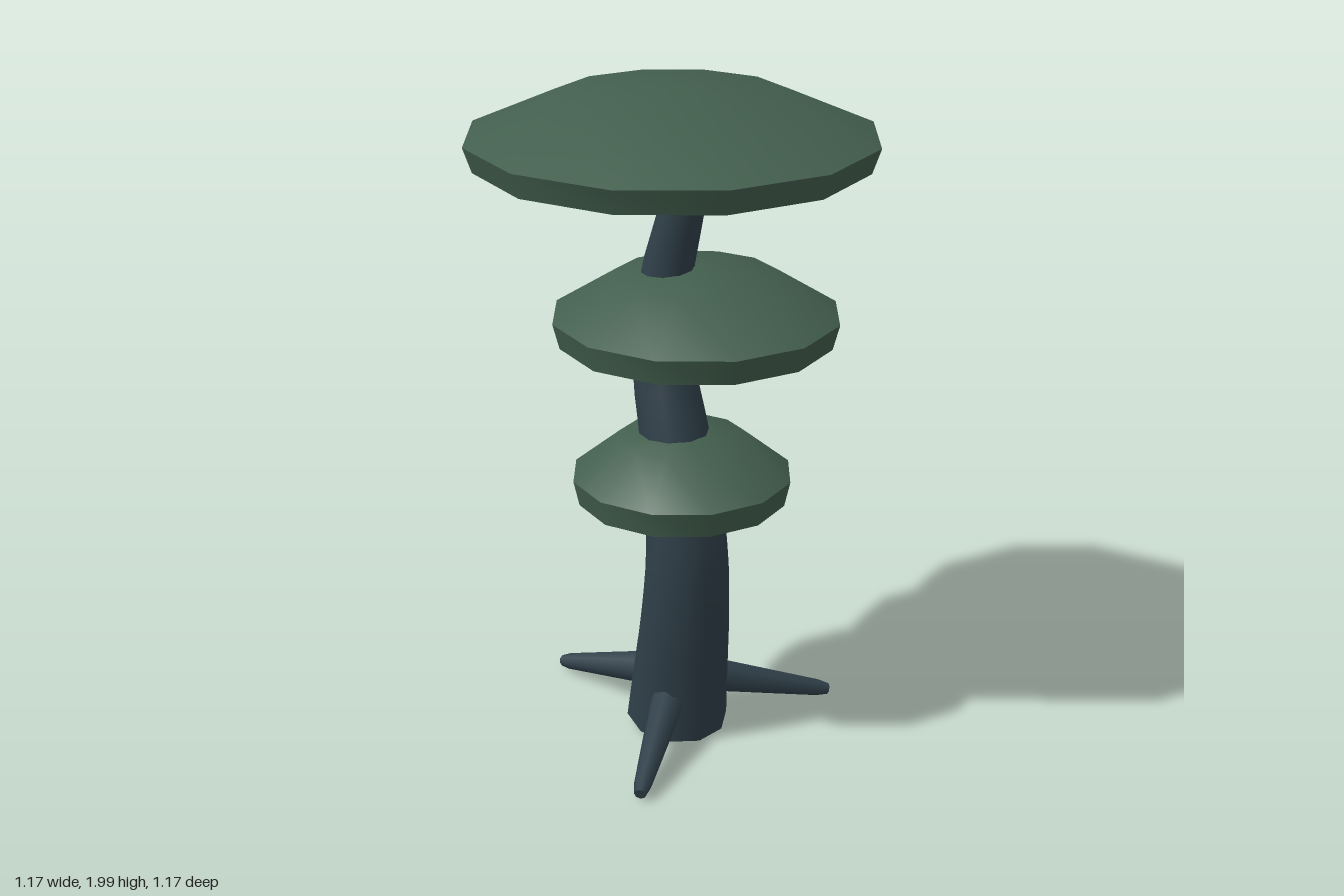
import * as THREE from 'three';
import { toCreasedNormals } from 'three/addons/utils/BufferGeometryUtils.js';

const V = (x, y, z) => new THREE.Vector3(x, y, z);

// Tube along a curve whose radius follows a rule, closed by a disc at each end
function taperedLimb(name, curve, radiusAt, segments, sides, material) {
  const limb = new THREE.Group();
  limb.name = name;
  const geo = new THREE.TubeGeometry(curve, segments, 1, sides, false);
  const pos = geo.attributes.position;
  const p = new THREE.Vector3();
  for (let i = 0; i <= segments; i++) {
    const centre = curve.getPointAt(i / segments);
    for (let j = 0; j <= sides; j++) {
      const k = i * (sides + 1) + j;
      p.fromBufferAttribute(pos, k).sub(centre).multiplyScalar(radiusAt(i / segments)).add(centre);
      pos.setXYZ(k, p.x, p.y, p.z);
    }
  }
  const side = new THREE.Mesh(geo, material);
  side.name = name + 'Side';
  limb.add(side);

  // End discs share the rim vertices of the tube
  for (const u of [0, 1]) {
    const centre = curve.getPointAt(u);
    const first = u * segments * (sides + 1);
    const pts = [];
    for (let j = 0; j < sides; j++) {
      const a = p.clone().fromBufferAttribute(pos, first + j);
      const b = p.clone().fromBufferAttribute(pos, first + j + 1);
      const out = curve.getTangentAt(u).multiplyScalar(u ? 1 : -1);
      const facing = a.clone().sub(centre).cross(b.clone().sub(centre)).dot(out) > 0;
      pts.push(centre, ...(facing ? [a, b] : [b, a]));
    }
    const disc = new THREE.BufferGeometry().setFromPoints(pts);
    disc.computeVertexNormals();
    const end = new THREE.Mesh(disc, material);
    end.name = name + (u ? 'Tip' : 'Base');
    limb.add(end);
  }
  return limb;
}

export function createModel() {
  const model = new THREE.Group();
  model.name = 'tieredMushroomTree';

  const bark = new THREE.MeshStandardMaterial({ color: 0x30404a });
  bark.name = 'slate bark';
  const foliage = new THREE.MeshStandardMaterial({ color: 0x435f4e });
  foliage.name = 'moss green';
  const glow = new THREE.MeshStandardMaterial({ color: 0x2aa5b0 });
  glow.name = 'teal glow';

  // Winding trunk
  const path = new THREE.CatmullRomCurve3([
    V(-0.015, 0.03, -0.035), V(0.01, 0.2, -0.026), V(0.045, 0.4, -0.01), V(0.06, 0.6, -0.002),
    V(0.04, 0.78, -0.005), V(-0.015, 1.0, -0.015), V(-0.055, 1.13, -0.024), V(-0.073, 1.25, -0.033),
    V(-0.07, 1.44, -0.05), V(-0.035, 1.6, -0.063), V(0.018, 1.85, -0.08),
  ]);
  model.add(taperedLimb('trunk', path, (u) => 0.154 - 0.1 * u, 24, 10, bark));

  // Three roots spread evenly around the base
  for (let i = 0; i < 3; i++) {
    const a = THREE.MathUtils.degToRad(57 + 120 * i);
    const c = Math.cos(a), s = Math.sin(a);
    const line = new THREE.LineCurve3(
      V(-0.015 + 0.04 * c, 0.165, -0.035 + 0.04 * s),
      V(-0.015 + 0.495 * c, 0.03, -0.035 + 0.495 * s));
    const radius = (u) => (u > 0.95 ? 0.018 : 0.06 - 0.036 * u);
    model.add(taperedLimb('root' + (i + 1), line, radius, 12, 8, bark));
  }

  // Canopy tiers: centre x, z, then profile radii and heights
  const tiers = [
    ['lowerCanopy', 0.025, -0.015, [0.308, 0.78], [0.325, 0.855], [0.188, 0.965], 0.985],
    ['middleCanopy', -0.002, -0.098, [0.403, 1.243], [0.423, 1.318], [0.243, 1.43], 1.455],
    ['upperCanopy', 0, 0, [0.562, 1.79], [0.587, 1.862], [0.338, 1.97], 2.0],
  ];
  for (const [name, x, z, rim, edge, shoulder, top] of tiers) {
    const profile = [[0, rim[1]], rim, edge, shoulder, [0, top]].map(([r, y]) => new THREE.Vector2(r, y));
    const canopy = new THREE.Mesh(toCreasedNormals(new THREE.LatheGeometry(profile, 12), 0.7), foliage);
    canopy.name = name;
    canopy.position.set(x, 0, z);
    model.add(canopy);
  }

  // Glowing pods in a ring under the upper canopy
  const podGeo = new THREE.SphereGeometry(0.035, 8, 6);
  for (let i = 0; i < 7; i++) {
    const a = (i / 7) * Math.PI * 2;
    const pod = new THREE.Mesh(podGeo, glow);
    pod.name = 'glowPod' + (i + 1);
    pod.position.set(-0.012 + 0.46 * Math.cos(a), 1.798, -0.035 + 0.46 * Math.sin(a));
    pod.scale.y = 0.7;
    model.add(pod);
  }
  return model;
}
